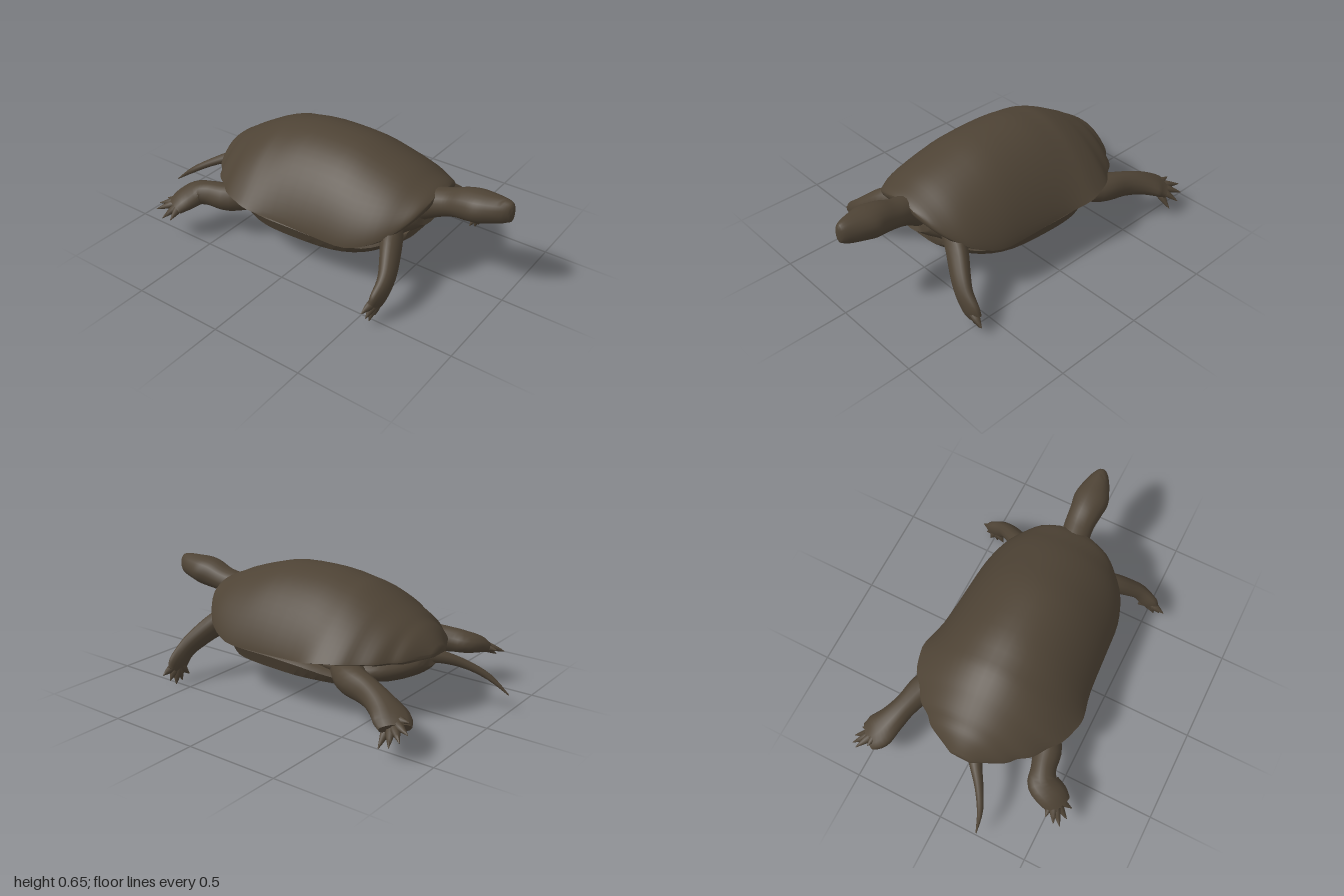
import * as THREE from 'three';
import { toCreasedNormals } from 'three/addons/utils/BufferGeometryUtils.js';

const V = (x, y, z) => new THREE.Vector3(x, y, z);

// Catmull-Rom smoothing of rows of numbers, n steps per span
function smoothRows(rows, n) {
  const out = [];
  const at = (i) => rows[Math.min(Math.max(i, 0), rows.length - 1)];
  for (let i = 0; i < rows.length - 1; i++) {
    const [a, b, c, d] = [at(i - 1), at(i), at(i + 1), at(i + 2)];
    for (let k = 0; k < n; k++) {
      const t = k / n;
      out.push(b.map((_, j) => 0.5 * (2 * b[j] + (c[j] - a[j]) * t
        + (2 * a[j] - 5 * b[j] + 4 * c[j] - d[j]) * t * t
        + (3 * b[j] - a[j] - 3 * c[j] + d[j]) * t * t * t)));
    }
  }
  out.push(rows[rows.length - 1]);
  return out;
}

// Closed skin over a run of rings, capped at both ends
function skin(rings, crease = 1) {
  const m = rings[0].length, pos = [], idx = [];
  rings.forEach((r) => r.forEach((p) => pos.push(p.x, p.y, p.z)));
  for (let i = 0; i < rings.length - 1; i++) {
    for (let j = 0; j < m; j++) {
      const a = i * m + j, b = i * m + (j + 1) % m;
      idx.push(a, b, a + m, b, b + m, a + m);
    }
  }
  [0, rings.length - 1].forEach((i) => {
    const c = rings[i].reduce((s, p) => s.add(p), V(0, 0, 0)).divideScalar(m);
    const ci = pos.length / 3;
    pos.push(c.x, c.y, c.z);
    for (let j = 0; j < m; j++) {
      const a = i * m + j, b = i * m + (j + 1) % m;
      if (i) idx.push(ci, a, b); else idx.push(ci, b, a);
    }
  });
  const g = new THREE.BufferGeometry();
  g.setAttribute('position', new THREE.Float32BufferAttribute(pos, 3));
  g.setIndex(idx);
  return toCreasedNormals(g, crease);
}

// Limb-like form: rows are x, y, z, half width, half thickness
function limb(rows, thin, sides = 14, n = 4) {
  const rs = smoothRows(rows, n);
  const rings = rs.map((r, i) => {
    const p = rs[Math.max(i - 1, 0)], q = rs[Math.min(i + 1, rs.length - 1)];
    const t = V(q[0] - p[0], q[1] - p[1], q[2] - p[2]).normalize();
    const side = thin.clone().cross(t).normalize();
    const up = t.clone().cross(side);
    return Array.from({ length: sides }, (_, j) => {
      const a = (j / sides) * Math.PI * 2;
      return V(r[0], r[1], r[2])
        .addScaledVector(side, Math.cos(a) * r[3])
        .addScaledVector(up, Math.sin(a) * r[4]);
    });
  });
  return skin(rings);
}

export function createModel() {
  const model = new THREE.Group();
  const brown = new THREE.MeshStandardMaterial({ color: 0x4e4335 });
  brown.name = 'darkBrown';
  const Y = V(0, 1, 0), Z = V(0, 0, 1);

  const add = (name, geometry, parent = model) => {
    const mesh = new THREE.Mesh(geometry, brown);
    mesh.name = name;
    parent.add(mesh);
  };

  // Upper shell: z, half width, rim height, crown height, flare of the rim
  const shellRows = smoothRows([
    [-0.725, 0.06, 0.335, 0.358, 1.4], [-0.69, 0.13, 0.33, 0.4, 1.5], [-0.645, 0.217, 0.325, 0.44, 1.6],
    [-0.6, 0.26, 0.325, 0.468, 1.7], [-0.555, 0.325, 0.325, 0.497, 1.8], [-0.48, 0.375, 0.325, 0.54, 1.9],
    [-0.42, 0.425, 0.325, 0.572, 2], [-0.33, 0.457, 0.32, 0.612, 2.1], [-0.25, 0.468, 0.308, 0.63, 2.1],
    [-0.1, 0.438, 0.285, 0.655, 1.7], [0.15, 0.42, 0.27, 0.652, 1.5],
    [0.32, 0.405, 0.27, 0.612, 1.45], [0.45, 0.355, 0.315, 0.57, 1.4], [0.53, 0.285, 0.37, 0.535, 1.4],
    [0.59, 0.2, 0.43, 0.51, 1.35], [0.615, 0.1, 0.475, 0.495, 1.35],
  ], 3);
  add('upperShell', skin(shellRows.map(([z, w, rim, top, flare]) => {
    const ring = [];
    for (let i = 0; i <= 28; i++) {
      const a = (i / 28) * Math.PI;
      const lift = Math.pow(Math.max(Math.sin(a), 0), flare);
      ring.push(V(w * Math.cos(a), rim + (top - rim) * lift, z));
    }
    // Underside of the rim, tucked inwards
    [-0.93, -0.5, 0, 0.5, 0.93].forEach((k) => ring.push(V(w * k, rim - 0.012, z)));
    return ring;
  }), 0.8));

  // Lower shell with side bridges: z, half width, edge height, bottom height
  const bellyRows = smoothRows([
    [-0.46, 0.2, 0.195, 0.16], [-0.42, 0.29, 0.2, 0.15], [-0.32, 0.36, 0.22, 0.138],
    [-0.18, 0.415, 0.255, 0.128], [0, 0.42, 0.265, 0.122], [0.22, 0.395, 0.255, 0.136],
    [0.36, 0.31, 0.225, 0.16], [0.47, 0.21, 0.25, 0.205], [0.52, 0.15, 0.27, 0.24],
  ], 3);
  add('lowerShell', skin(bellyRows.map(([z, w, edge, low]) => {
    const drop = edge - low;
    const half = [[1, edge], [0.94, edge + 0.02], [0.5, edge + 0.03]];
    const under = [[0.5, low + 0.06 * drop], [0.74, low + 0.2 * drop], [0.94, low + 0.52 * drop]];
    const left = ([k, y]) => V(-k * w, y, z), right = ([k, y]) => V(k * w, y, z);
    return [
      ...half.map(right), ...half.slice().reverse().map(left),
      ...under.slice().reverse().map(left), V(0, low, z), ...under.map(right),
    ];
  }), 0.7));

  // Soft body between the shells
  add('body', limb([
    [0, 0.29, -0.67, 0.08, 0.04], [0, 0.265, -0.6, 0.21, 0.07], [0, 0.255, -0.45, 0.32, 0.09],
    [0, 0.29, 0, 0.36, 0.1], [0, 0.32, 0.36, 0.29, 0.11], [0, 0.36, 0.48, 0.21, 0.1],
    [0, 0.385, 0.54, 0.13, 0.085],
  ], Y, 24));

  // Neck and head in one form
  add('neckAndHead', limb([
    [0, 0.36, 0.45, 0.11, 0.09], [0, 0.425, 0.58, 0.082, 0.078], [0.01, 0.457, 0.68, 0.08, 0.07],
    [0.01, 0.478, 0.76, 0.088, 0.08], [0.012, 0.49, 0.83, 0.096, 0.08],
    [0.017, 0.5, 0.9, 0.077, 0.071], [0.02, 0.507, 0.96, 0.052, 0.062],
    [0.02, 0.507, 0.99, 0.03, 0.05], [0.02, 0.507, 1, 0.012, 0.03],
  ], Y, 18));

  // Tail, curling to the right
  add('tail', limb([
    [-0.02, 0.29, -0.6, 0.065, 0.05], [-0.07, 0.28, -0.7, 0.036, 0.032],
    [-0.14, 0.24, -0.8, 0.023, 0.022], [-0.195, 0.18, -0.9, 0.016, 0.016],
    [-0.22, 0.1, -1, 0.003, 0.003],
  ], Y, 10));

  // Leg with a fan of clawed toes
  const addLeg = (name, thin, rows, tips) => {
    const leg = new THREE.Group();
    leg.name = name;
    model.add(leg);
    add(name + 'Limb', limb(rows, thin), leg);
    const [x, y, z] = rows[rows.length - 2];
    tips.forEach(([tx, ty, tz], i) => {
      const mix = (k) => [x + (tx - x) * k, y + (ty - y) * k, z + (tz - z) * k];
      add(`${name}Toe${i + 1}`, limb([
        [...mix(0.1), 0.026, 0.024], [...mix(0.5), 0.022, 0.02],
        [...mix(0.72), 0.014, 0.013], [...mix(1), 0.002, 0.002],
      ], thin, 8, 3), leg);
    });
  };

  addLeg('leftFrontLeg', Z, [
    [0.15, 0.34, 0.43, 0.08, 0.065], [0.27, 0.3, 0.5, 0.072, 0.055], [0.37, 0.225, 0.565, 0.063, 0.046],
    [0.43, 0.17, 0.595, 0.058, 0.038], [0.485, 0.11, 0.602, 0.065, 0.03], [0.515, 0.075, 0.6, 0.05, 0.02],
  ], [[0.43, 0.04, 0.575], [0.475, 0.015, 0.585], [0.52, 0.004, 0.585], [0.55, 0.03, 0.6], [0.58, 0.065, 0.62]]);

  addLeg('rightFrontLeg', Z, [
    [-0.15, 0.34, 0.43, 0.08, 0.065], [-0.27, 0.3, 0.51, 0.072, 0.055], [-0.37, 0.23, 0.562, 0.063, 0.046],
    [-0.43, 0.185, 0.582, 0.058, 0.038], [-0.485, 0.13, 0.58, 0.065, 0.03], [-0.515, 0.1, 0.575, 0.05, 0.02],
  ], [[-0.44, 0.05, 0.57], [-0.495, 0.035, 0.575], [-0.54, 0.025, 0.57], [-0.57, 0.06, 0.57], [-0.595, 0.1, 0.56]]);

  addLeg('leftHindLeg', Y, [
    [0.26, 0.25, -0.36, 0.09, 0.08], [0.36, 0.243, -0.45, 0.08, 0.08], [0.408, 0.228, -0.58, 0.064, 0.07],
    [0.445, 0.204, -0.68, 0.075, 0.06], [0.485, 0.17, -0.765, 0.095, 0.046], [0.525, 0.145, -0.81, 0.078, 0.03],
  ], [[0.495, 0.18, -0.865], [0.555, 0.15, -0.895], [0.59, 0.12, -0.875], [0.607, 0.09, -0.83], [0.6, 0.065, -0.77]]);

  addLeg('rightHindLeg', Y, [
    [-0.26, 0.25, -0.38, 0.09, 0.08], [-0.36, 0.25, -0.46, 0.08, 0.076], [-0.395, 0.25, -0.57, 0.066, 0.066],
    [-0.425, 0.242, -0.635, 0.082, 0.058], [-0.5, 0.22, -0.668, 0.082, 0.046], [-0.55, 0.195, -0.69, 0.066, 0.03],
  ], [[-0.51, 0.2, -0.78], [-0.56, 0.19, -0.79], [-0.595, 0.17, -0.785], [-0.61, 0.14, -0.73], [-0.61, 0.15, -0.67]]);

  return model;
}
